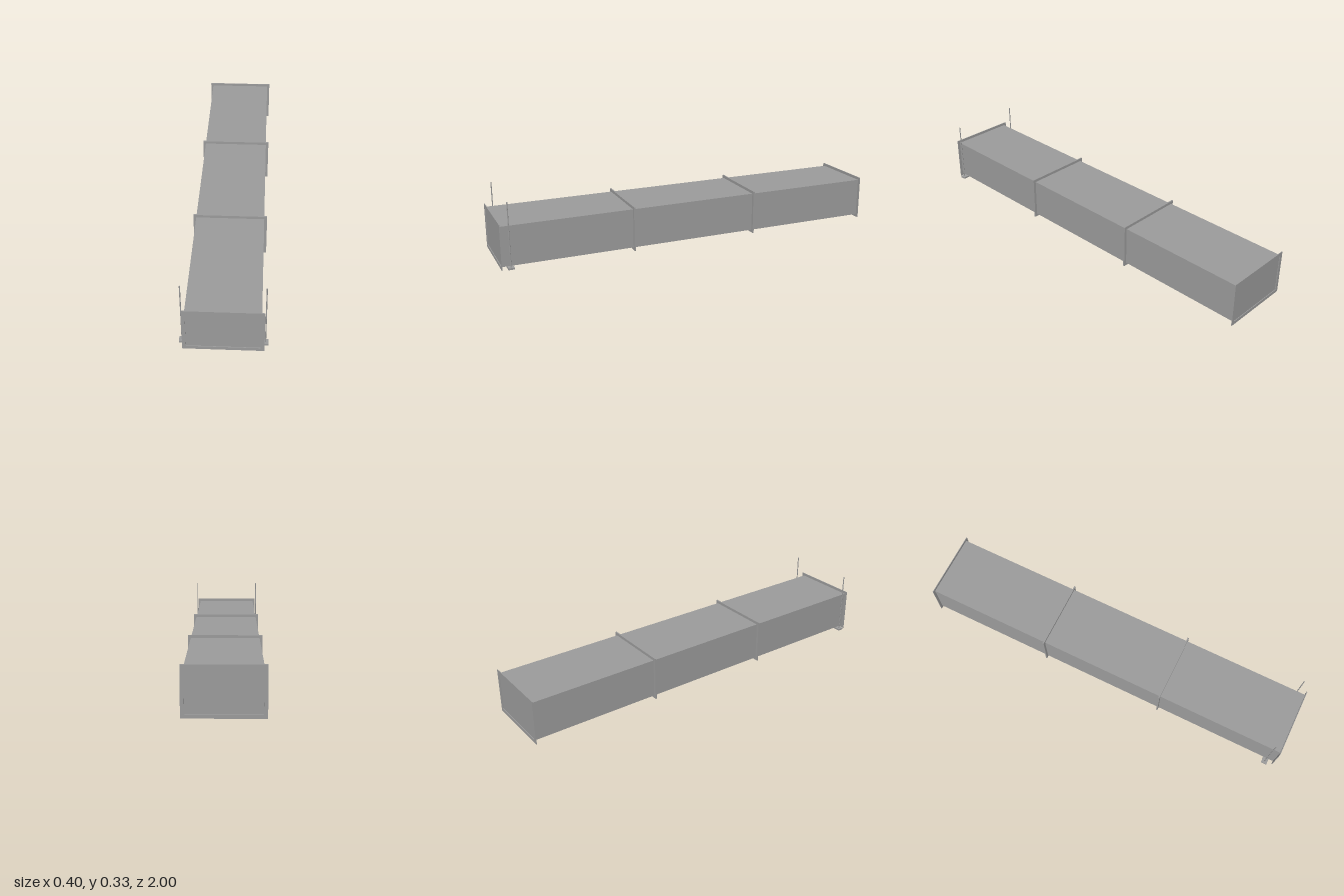
import * as THREE from 'three';

const material = new THREE.MeshStandardMaterial({ color: 0x9b9b9b, flatShading: true });
const CENTRE_Y = 0.1145;
const FLANGE = 0.0035; // flange thickness
const SECTIONS = 3;
const LENGTH = 2 / SECTIONS;

function add(parent, name, geometry, x = 0, y = 0, z = 0) {
  const mesh = new THREE.Mesh(geometry, material);
  mesh.name = name;
  mesh.position.set(x, y, z);
  parent.add(mesh);
}

// Rectangle with small rounded corners, centred on the origin
function roundedRect(path, w, h, r) {
  const x = w / 2, y = h / 2;
  path.moveTo(-x + r, -y);
  path.lineTo(x - r, -y);
  path.quadraticCurveTo(x, -y, x, -y + r);
  path.lineTo(x, y - r);
  path.quadraticCurveTo(x, y, x - r, y);
  path.lineTo(-x + r, y);
  path.quadraticCurveTo(-x, y, -x, y - r);
  path.lineTo(-x, -y + r);
  path.quadraticCurveTo(-x, -y, -x + r, -y);
  return path;
}

function flangeGeometry() {
  const shape = roundedRect(new THREE.Shape(), 0.363, 0.229, 0.001);
  shape.holes.push(roundedRect(new THREE.Path(), 0.33, 0.196, 0.003));
  return new THREE.ExtrudeGeometry(shape, { depth: FLANGE, bevelEnabled: false, curveSegments: 4 });
}

export function createModel() {
  const model = new THREE.Group();
  model.name = 'ductRun';

  // Duct sections, each with a flange frame at both ends
  const flange = flangeGeometry();
  const body = new THREE.BoxGeometry(0.335, 0.2, LENGTH - 2 * FLANGE);
  for (let i = 0; i < SECTIONS; i++) {
    const section = new THREE.Group();
    section.name = 'ductSection' + (i + 1);
    section.position.set(0, CENTRE_Y, -1 + LENGTH * (i + 0.5));
    add(section, 'ductBody', body);
    add(section, 'backFlange', flange, 0, 0, -LENGTH / 2);
    add(section, 'frontFlange', flange, 0, 0, LENGTH / 2 - FLANGE);
    model.add(section);
  }

  // Trapeze hanger: cross bar under the duct and two threaded rods
  const hanger = new THREE.Group();
  hanger.name = 'trapezeHanger';
  hanger.position.z = 0.957;
  add(hanger, 'crossBar', new THREE.BoxGeometry(0.398, 0.009, 0.03), 0, 0.0105, 0);
  const rod = new THREE.CylinderGeometry(0.0027, 0.0027, 0.326, 8);
  for (const side of [1, -1]) {
    add(hanger, side > 0 ? 'leftRod' : 'rightRod', rod, side * 0.1858, 0.171, 0);
  }
  model.add(hanger);

  return model;
}
